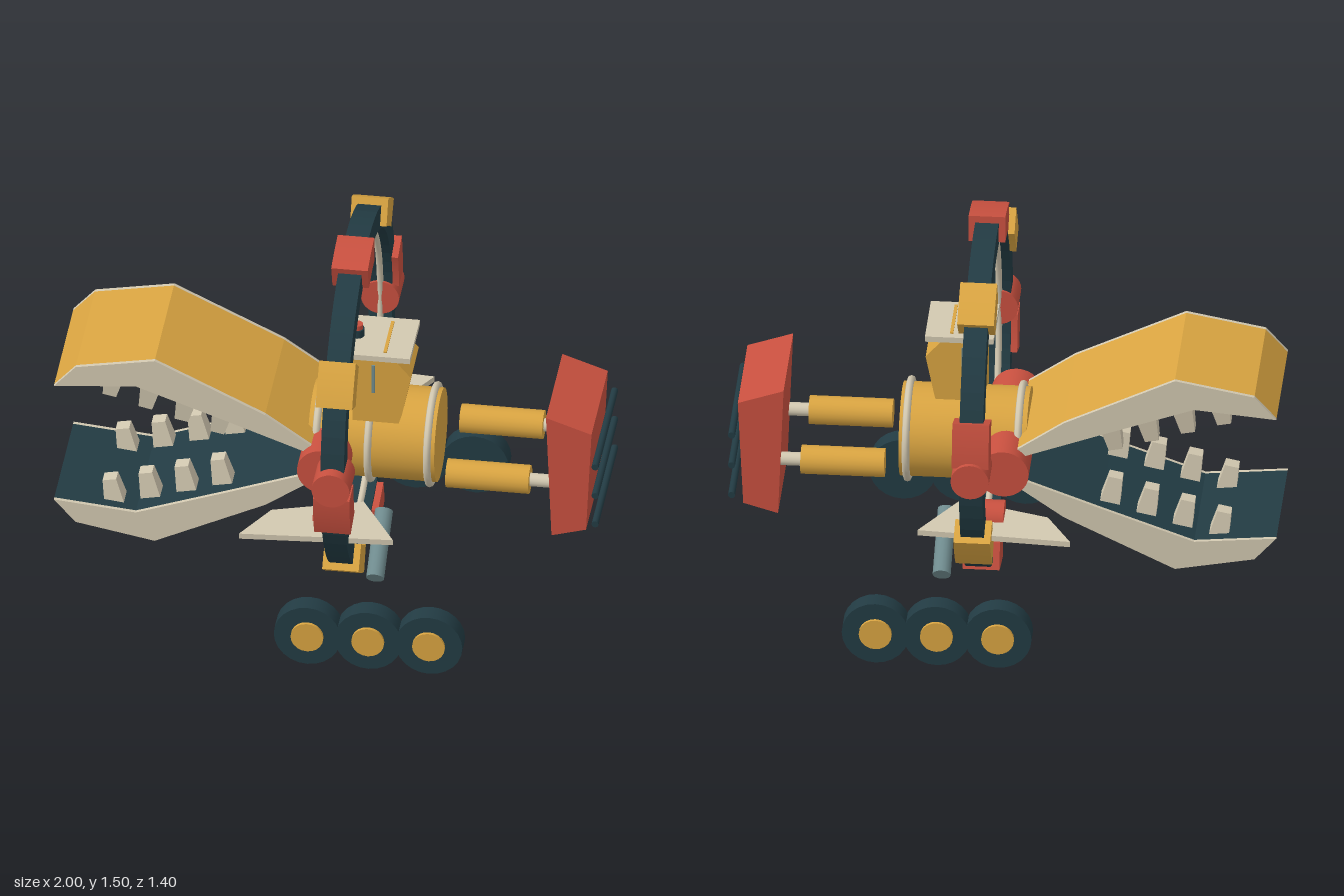
import * as THREE from 'three';

const mat = (name, color) => {
  const m = new THREE.MeshStandardMaterial({ color });
  m.name = name;
  return m;
};

export function createModel() {
  const gold = mat('gold', 0xd9a441);
  const red = mat('red', 0xc8503f);
  const dark = mat('dark teal', 0x223b43);
  const bone = mat('bone', 0xd2c8b0);
  const steel = mat('steel', 0x6f8b8e);
  const root = new THREE.Group();

  const add = (name, geo, material, x = 0, y = 0, z = 0, parent = root) => {
    const m = new THREE.Mesh(geo, material);
    m.name = name;
    m.position.set(x, y, z);
    parent.add(m);
    return m;
  };
  const box = (name, material, w, h, d, x, y, z) =>
    add(name, new THREE.BoxGeometry(w, h, d), material, x, y, z);
  // cylinder lying along the x, y or z axis
  const cyl = (name, material, axis, r, len, x, y, z, sides = 28) => {
    const g = new THREE.CylinderGeometry(r, r, len, sides);
    if (axis === 'x') g.rotateZ(-Math.PI / 2);
    if (axis === 'z') g.rotateX(Math.PI / 2);
    return add(name, g, material, x, y, z);
  };
  // side profile in x/y, extruded along z about a centre
  const profile = (name, material, pts, depth, z = 0, parent = root) => {
    const s = new THREE.Shape(pts.map((p) => new THREE.Vector2(p[0], p[1])));
    const g = new THREE.ExtrudeGeometry(s, { depth, bevelEnabled: false });
    g.translate(0, 0, -depth / 2);
    return add(name, g, material, 0, 0, z, parent);
  };
  // shape facing along x, centred on the big ring
  const RX = 0.08, RY = 0.822;
  const ringPart = (name, material, shape, width) => {
    const g = new THREE.ExtrudeGeometry(shape, { depth: width, bevelEnabled: false, curveSegments: 32 });
    g.translate(0, 0, -width / 2);
    g.rotateY(Math.PI / 2);
    return add(name, g, material, RX, RY, 0);
  };

  // big ring with pale inner liner
  const hoop = new THREE.Shape().absarc(0, 0, 0.659, 0, Math.PI * 2, false);
  hoop.holes.push(new THREE.Path().absarc(0, 0, 0.572, 0, Math.PI * 2, true));
  ringPart('ring', dark, hoop, 0.086);
  const liner = new THREE.TorusGeometry(0.568, 0.012, 8, 64);
  add('ringLiner', liner.rotateY(Math.PI / 2), bone, RX, RY, 0);

  // eight clamps around the ring, alternating colours
  for (let i = 0; i < 8; i++) {
    const a = Math.PI / 2 + Math.PI / 16 + (i * Math.PI) / 4;
    const s = new THREE.Shape();
    s.absarc(0, 0, 0.685, a - 0.125, a + 0.125, false);
    s.absarc(0, 0, 0.583, a + 0.125, a - 0.125, true);
    ringPart('ringClamp', i % 2 ? gold : red, s, 0.134);
  }

  // body barrel and hoops
  cyl('body', gold, 'x', 0.173, 0.465, 0.152, 0.627, 0);
  for (const x of [-0.05, 0.14, 0.358]) {
    const g = new THREE.TorusGeometry(0.18, 0.014, 8, 40);
    add('bodyHoop', g.rotateY(Math.PI / 2), bone, x, 0.627, 0);
  }
  cyl('jawHinge', red, 'z', 0.093, 0.6, -0.008, 0.627, 0);

  // cab, roof and beacon
  const CZ = 0.043;
  profile('cab', gold, [[0.08, 0.76], [0.25, 0.76], [0.262, 0.8], [0.295, 0.965], [0.228, 1.045], [0.08, 1.045]], 0.2, CZ);
  box('cabRoof', bone, 0.25, 0.022, 0.255, 0.17, 1.056, CZ);
  box('roofStripe', gold, 0.012, 0.008, 0.2, 0.2, 1.068, CZ);
  cyl('beaconBase', dark, 'y', 0.025, 0.032, 0.085, 1.082, CZ, 16);
  cyl('beacon', red, 'y', 0.02, 0.02, 0.085, 1.107, CZ, 16);
  for (const s of [-1, 1]) box('cabSlit', steel, 0.012, 0.12, 0.008, 0.157, 0.95, CZ + s * 0.102);

  // jaws: core between two side plates, with two rows of teeth
  const jawPts = [[-1, 0.25], [-0.7, 0.278], [-0.36, 0.155], [-0.05, 0.04],
    [-0.05, 0.075], [-0.225, 0.198], [-0.63, 0.396], [-0.92, 0.341]];
  for (const s of [1, -1]) {
    const jaw = new THREE.Group();
    jaw.name = s > 0 ? 'upperJaw' : 'lowerJaw';
    jaw.position.y = 0.627;
    root.add(jaw);
    let pts = jawPts.map(([x, y]) => [x, y * s]);
    if (s < 0) pts = pts.reverse();
    profile('jawCore', s > 0 ? gold : dark, pts, 0.476, 0, jaw);
    for (const k of [-1, 1]) {
      profile('jawSide', bone, pts, 0.014, k * 0.245, jaw);
      for (let i = 0; i < 4; i++) {
        const g = new THREE.CylinderGeometry(0.052, 0.036, 0.1, 4).toNonIndexed();
        g.computeVertexNormals();
        g.rotateY(Math.PI / 4);
        if (s < 0) g.rotateX(Math.PI);
        g.rotateZ(-0.2 * s);
        add('tooth', g, bone, -0.795 + i * 0.132, s * (0.235 - i * 0.042), k * 0.165, jaw);
      }
    }
  }

  // pistons and push blade
  for (const z of [-0.18, 0.175]) {
    cyl('piston', gold, 'x', 0.053, 0.305, 0.585, 0.584, z, 20);
    cyl('pistonRod', bone, 'x', 0.025, 0.1, 0.78, 0.584, z, 16);
  }
  profile('blade', red, [[0.8, 0.883], [0.82, 0.368], [0.947, 0.405], [0.967, 0.825]], 0.415);
  for (const y of [0.712, 0.586, 0.461]) cyl('bladeBar', dark, 'z', 0.013, 0.5, 0.986, y, 0, 12);

  for (const s of [-1, 1]) {
    // pods on the ring sides
    cyl('ringPod', red, 'z', 0.07, 0.14, RX, RY, s * 0.628);

    // side fins with their mounts
    const fin = new THREE.Shape([[-0.275, 0.568], [0.285, 0.53], [0.145, 0.3], [-0.18, 0.4]]
      .map(([x, z]) => new THREE.Vector2(x, -s * z)));
    const fg = new THREE.ExtrudeGeometry(fin, { depth: 0.022, bevelEnabled: false });
    add('fin', fg.rotateX(-Math.PI / 2), bone, 0, 0.491, 0);
    cyl('finMount', red, 'x', 0.062, 0.13, 0.043, 0.502, s * 0.39);

    // slanted legs
    const from = new THREE.Vector3(0.205, 0.415, s * 0.205);
    const to = new THREE.Vector3(0.205, 0.27, s * 0.43);
    const dir = to.clone().sub(from);
    const leg = cyl('leg', steel, 'y', 0.033, dir.length(), 0, 0, 0, 16);
    leg.position.copy(from).lerp(to, 0.5);
    leg.quaternion.setFromUnitVectors(new THREE.Vector3(0, 1, 0), dir.normalize());

    // three wheels each side, hubs outside
    for (const x of [-0.016, 0.207, 0.43]) {
      cyl('wheel', dark, 'z', 0.123, 0.072, x, 0.125, s * 0.587, 24);
      cyl('wheelHub', gold, 'z', 0.06, 0.03, x, 0.125, s * 0.62, 20);
    }
  }
  return root;
}
